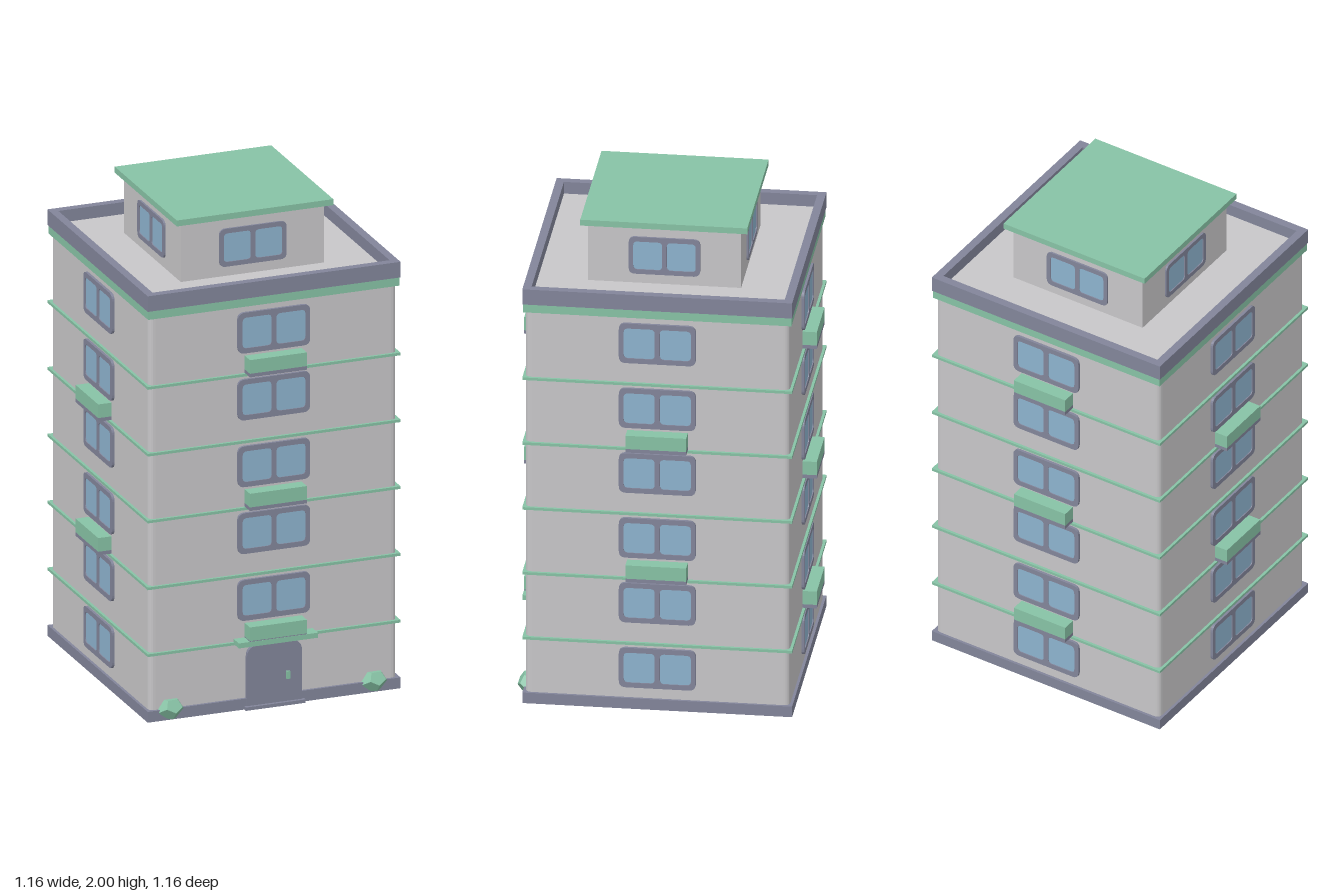
import * as THREE from 'three';

const mat = (name, color, flatShading = false) => {
  const m = new THREE.MeshStandardMaterial({ color, flatShading });
  m.name = name;
  return m;
};

// Rounded rectangle outline; rb is the radius of the two lower corners
function roundRect(Type, w, h, r, cx = 0, cy = 0, rb = r) {
  const s = new Type(), x = w / 2, y = h / 2;
  s.moveTo(cx - x + rb, cy - y);
  s.lineTo(cx + x - rb, cy - y);
  if (rb) s.quadraticCurveTo(cx + x, cy - y, cx + x, cy - y + rb);
  s.lineTo(cx + x, cy + y - r);
  s.quadraticCurveTo(cx + x, cy + y, cx + x - r, cy + y);
  s.lineTo(cx - x + r, cy + y);
  s.quadraticCurveTo(cx - x, cy + y, cx - x, cy + y - r);
  s.lineTo(cx - x, cy - y + rb);
  if (rb) s.quadraticCurveTo(cx - x, cy - y, cx - x + rb, cy - y);
  return s;
}

const extrude = (shape, depth) =>
  new THREE.ExtrudeGeometry(shape, { depth, bevelEnabled: false, curveSegments: 5 });

export function createModel() {
  const wall = mat('wallGrey', 0xc7c6c8);
  const slate = mat('slateTrim', 0x82859a);
  const green = mat('mintGreen', 0x87c2a5);
  const glass = mat('windowGlass', 0x8db3ce);

  const model = new THREE.Group();
  model.name = 'towerBlock';
  const FLOOR = 0.279, WALL = 0.522;

  function add(parent, name, geometry, material, x = 0, y = 0, z = 0) {
    const m = new THREE.Mesh(geometry, material);
    m.name = name;
    m.position.set(x, y, z);
    parent.add(m);
    return m;
  }
  // Box spanning y0..y1
  const box = (parent, name, material, w, y0, y1, d, x = 0, z = 0) =>
    add(parent, name, new THREE.BoxGeometry(w, y1 - y0, d), material, x, (y0 + y1) / 2, z);

  // Main block with softened vertical corners
  const body = add(model, 'body', extrude(roundRect(THREE.Shape, WALL * 2, WALL * 2, 0.025), 1.69), wall, 0, 0.03, 0);
  body.rotation.x = -Math.PI / 2;
  box(model, 'plinth', slate, 1.066, 0, 0.045, 1.066);
  for (let i = 1; i <= 5; i++) {
    box(model, 'floorBand', green, 1.066, i * FLOOR - 0.005, i * FLOOR + 0.006, 1.066);
  }

  // Cornice, parapet and roof
  box(model, 'cornice', green, 1.06, 1.68, 1.716, 1.06);
  const ring = roundRect(THREE.Shape, 1.066, 1.066, 0);
  ring.holes.push(roundRect(THREE.Path, 1.0, 1.0, 0));
  add(model, 'parapet', extrude(ring, 0.065), slate, 0, 1.715, 0).rotation.x = -Math.PI / 2;
  box(model, 'roofDeck', wall, 1.01, 1.71, 1.73, 1.01);
  box(model, 'penthouse', wall, 0.604, 1.72, 1.978, 0.604);
  box(model, 'penthouseRoof', green, 0.66, 1.975, 2, 0.66);

  // Two-pane window, origin at its centre on the wall
  const frameShape = roundRect(THREE.Shape, 0.304, 0.17, 0.028);
  for (const s of [-1, 1]) frameShape.holes.push(roundRect(THREE.Path, 0.123, 0.128, 0.018, s * 0.0715));
  const frameGeo = extrude(frameShape, 0.012);
  const paneGeo = new THREE.PlaneGeometry(0.13, 0.135);
  function addWindow(parent, y, z, scale = 1) {
    const w = new THREE.Group();
    w.name = 'window';
    w.position.set(0, y, z);
    w.scale.set(scale, scale, 1);
    add(w, 'windowFrame', frameGeo, slate);
    for (const s of [-1, 1]) add(w, 'windowPane', paneGeo, glass, s * 0.0715, 0, 0.008);
    parent.add(w);
  }

  // Four facades: 0 front, 1 left, 2 back, 3 right
  ['frontFacade', 'leftFacade', 'backFacade', 'rightFacade'].forEach((name, k) => {
    const side = new THREE.Group();
    side.name = name;
    side.rotation.y = k * Math.PI / 2;
    model.add(side);
    for (let f = k === 0 ? 1 : 0; f < 6; f++) addWindow(side, f * FLOOR + 0.176, WALL - 0.001);
    addWindow(side, 1.85, 0.298, 0.93);
    // Planter boxes alternate floors between neighbouring facades
    for (const f of k % 2 ? [2, 4] : [1, 3, 5]) {
      const y = f * FLOOR + 0.006;
      box(side, 'planterBase', slate, 0.24, y, y + 0.015, 0.07, 0, 0.543);
      box(side, 'planter', green, 0.24, y + 0.015, y + 0.072, 0.07, 0, 0.543);
    }
  });

  // Entrance
  add(model, 'door', extrude(roundRect(THREE.Shape, 0.232, 0.262, 0.045, 0, 0.131, 0), 0.02), slate, 0, 0, 0.517);
  box(model, 'doorHandle', green, 0.015, 0.108, 0.14, 0.012, 0.056, 0.54);
  box(model, 'doorStep', slate, 0.252, 0, 0.014, 0.05, 0, 0.525);
  box(model, 'doorCanopy', green, 0.334, 0.276, 0.297, 0.06, 0, 0.549);

  // Faceted bushes beside the entrance
  const bush = mat('mintGreen', 0x87c2a5, true);
  const bushGeo = new THREE.DodecahedronGeometry(0.06);
  bushGeo.rotateX(0.55).rotateY(0.12).scale(1, 0.8, 0.9);
  for (const x of [-0.433, 0.425]) add(model, 'bush', bushGeo, bush, x, 0.044, 0.512);

  const minY = new THREE.Box3().setFromObject(model).min.y;
  model.position.y = -Math.min(0, minY);
  return model;
}
